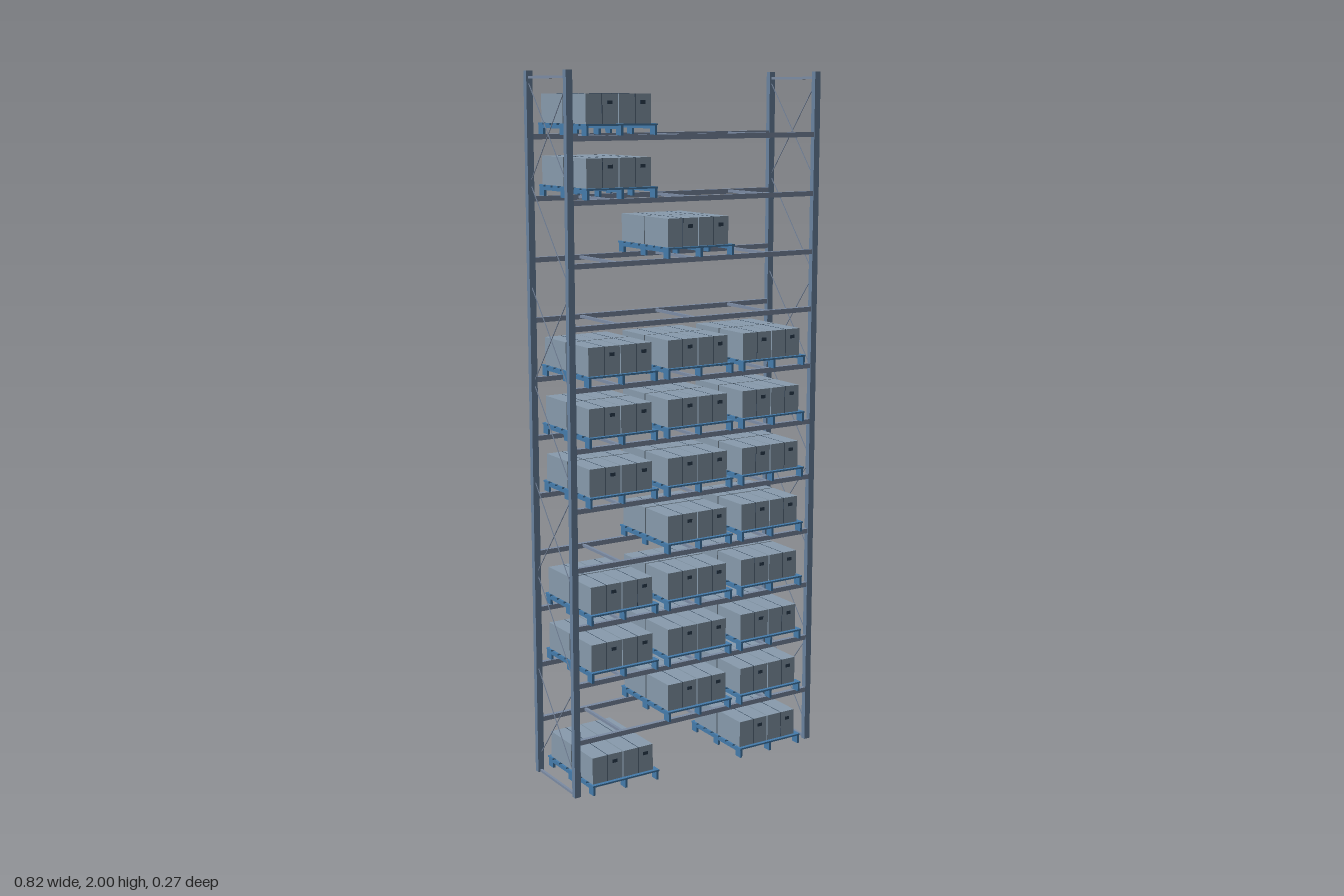
import * as THREE from 'three';

const paint = (color) => new THREE.MeshStandardMaterial({ color });
const POST = paint(0x6a83a0);
const BEAM = paint(0x7c8ca4);
const PALLET = paint(0x457cac);
const CARTON = paint(0x889bad);
const DARK = paint(0x2c3e52);

// Adds a named box of size [w, h, d] centred at [x, y, z]
function box(parent, name, material, [w, h, d], [x, y, z]) {
  const mesh = new THREE.Mesh(new THREE.BoxGeometry(w, h, d), material);
  mesh.name = name;
  mesh.position.set(x, y, z);
  parent.add(mesh);
  return mesh;
}

// Thin diagonal rod in the side frame, from (y0, z0) to (y1, z1)
function brace(parent, x, y0, z0, y1, z1) {
  const dy = y1 - y0, dz = z1 - z0;
  const rod = box(parent, 'diagonalBrace', BEAM, [0.002, 0.002, Math.hypot(dy, dz)],
    [x, (y0 + y1) / 2, (z0 + z1) / 2]);
  rod.rotation.x = -Math.atan2(dy, dz);
}

const POST_X = 0.402, POST_Z = 0.109;
const PITCH = 0.1665;

function sideFrame(x) {
  const g = new THREE.Group();
  g.name = 'sideFrame';
  for (const z of [-POST_Z, POST_Z]) {
    box(g, 'post', POST, [0.019, 2, 0.016], [x, 1, z]);
  }
  for (const y of [0.004, 1.982]) {
    box(g, 'frameTie', BEAM, [0.007, 0.007, 2 * POST_Z - 0.014], [x, y, 0]);
  }
  // Crossed and single braces alternate up the frame
  const bay = 0.275;
  for (let i = 0; i < 7; i++) {
    const y = 0.05 + i * bay;
    brace(g, x + 0.002, y, i % 2 ? POST_Z : -POST_Z, y + bay, i % 2 ? -POST_Z : POST_Z);
    if (i % 2 === 0) brace(g, x - 0.002, y, POST_Z, y + bay, -POST_Z);
  }
  return g;
}

function shelfLevel(y) {
  const g = new THREE.Group();
  g.name = 'shelfLevel';
  for (const z of [-POST_Z, POST_Z]) {
    box(g, 'beam', BEAM, [2 * POST_X - 0.018, 0.014, 0.013], [0, y - 0.007, z]);
  }
  for (const x of [-0.25, 0, 0.25]) {
    box(g, 'crossTie', BEAM, [0.008, 0.008, 2 * POST_Z - 0.012], [x, y - 0.006, 0]);
  }
  return g;
}

function pallet() {
  const g = new THREE.Group();
  g.name = 'pallet';
  // Notched stringers: a rail with three feet
  for (const x of [-0.105, 0, 0.105]) {
    box(g, 'stringer', PALLET, [0.007, 0.009, 0.262], [x, 0.0205, 0]);
    for (const z of [-0.118, 0, 0.118]) {
      box(g, 'palletFoot', PALLET, [0.007, 0.016, 0.026], [x, 0.008, z]);
    }
  }
  // Deck boards, spaced along the depth
  for (let i = 0; i < 7; i++) {
    box(g, 'deckBoard', PALLET, [0.22, 0.005, 0.028], [0, 0.0275, (i - 3) * 0.0395]);
  }
  return g;
}

function carton() {
  const h = 0.078, w = 0.098, d = 0.119;
  const g = new THREE.Group();
  g.name = 'carton';
  box(g, 'cartonBody', CARTON, [w, h, d], [0, h / 2, 0]);
  // Closing seam over the top and down both ends
  box(g, 'seam', DARK, [0.0015, h + 0.0004, d + 0.0008], [0, (h + 0.0004) / 2, 0]);
  // Hand hole on the front
  box(g, 'handHole', DARK, [0.016, 0.01, 0.001], [0.024, h * 0.71, d / 2]);
  return g;
}

function loadedPallet(x, y) {
  const g = new THREE.Group();
  g.name = 'loadedPallet';
  g.add(pallet());
  for (const cx of [-0.0555, 0.0455]) {
    for (const cz of [-0.062, 0.062]) {
      const c = carton();
      c.position.set(cx, 0.03, cz);
      g.add(c);
    }
  }
  g.position.set(x, y, 0);
  return g;
}

export function createModel() {
  const model = new THREE.Group();
  model.name = 'palletRack';

  for (const side of [-1, 1]) model.add(sideFrame(side * POST_X));
  for (let i = 1; i <= 11; i++) model.add(shelfLevel(i * PITCH));

  // Occupied bays per level from the floor up
  const bays = { L: -0.252, C: 0, R: 0.252 };
  const loads = ['LR', 'CR', 'LCR', 'LCR', 'CR', 'LCR', 'LCR', 'LCR', '', 'C', 'L', 'L'];
  loads.forEach((row, i) => {
    for (const bay of row) model.add(loadedPallet(bays[bay], i * PITCH));
  });
  return model;
}
